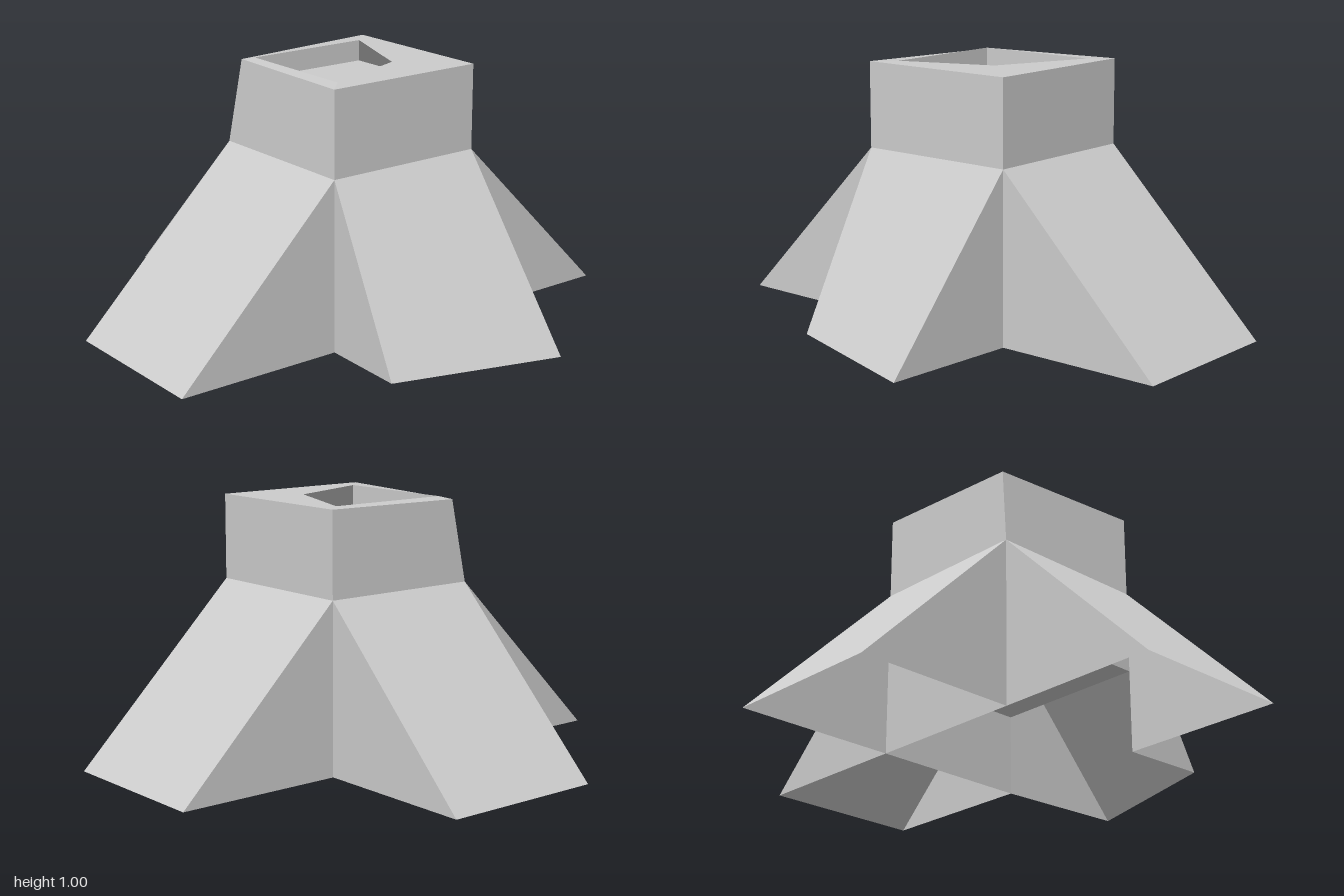
import * as THREE from 'three';

const GREY = new THREE.MeshStandardMaterial({ color: 0xcccccc, side: THREE.DoubleSide });
GREY.name = 'stoneGrey';

// Corner rings as [x, z] (optional own height): front right, front left, back left, back right
const BODY = [[-0.331, 0.393], [0.331, 0.393], [0.331, -0.272], [-0.331, -0.272]];
const CAP = [[-0.331, 0.393], [0.331, 0.393], [0.331, -0.272], [-0.285, -0.245, 0.99]];
const OPENING = [[-0.255, 0.315], [0.11, 0.18], [0.255, -0.2], [-0.255, -0.2]];
const FLOOR = [[-0.255, 0.315], [0.255, 0.315], [0.255, -0.2], [-0.255, -0.2]];

// Ground corners of each sloped buttress
const TIPS = {
  frontButtress: [[-0.345, 0.74], [0.299, 0.938]],
  leftButtress: [[1, 0.393], [1, -0.272]],
  backButtress: [[0.331, -0.938], [-0.331, -0.938]],
  rightButtress: [[-1, -0.272], [-1, 0.393]],
};

const at = ([x, z, ownHeight], y) => new THREE.Vector3(x, ownHeight ?? y, z);

// Mesh from triangles and quads, with one normal per face
function polygons(name, faces) {
  const points = [], normals = [];
  for (const f of faces) {
    // Cross product of the diagonals (or of two edges for a triangle)
    const normal = f[2].clone().sub(f[0]).cross(f[f.length - 1].clone().sub(f[1]));
    if (f.length === 3) normal.copy(f[1]).sub(f[0]).cross(f[2].clone().sub(f[0]));
    normal.normalize();
    for (let i = 1; i < f.length - 1; i++) {
      for (const p of [f[0], f[i], f[i + 1]]) {
        points.push(...p);
        normals.push(...normal);
      }
    }
  }
  const geometry = new THREE.BufferGeometry();
  geometry.setAttribute('position', new THREE.Float32BufferAttribute(points, 3));
  geometry.setAttribute('normal', new THREE.Float32BufferAttribute(normals, 3));
  const mesh = new THREE.Mesh(geometry, GREY);
  mesh.name = name;
  return mesh;
}

// Quads joining a lower (or outer) ring to an upper (or inner) ring
function band(low, y0, high, y1) {
  return low.map((p, i) => {
    const j = (i + 1) % low.length;
    return [at(p, y0), at(low[j], y0), at(high[j], y1), at(high[i], y1)];
  });
}

export function createModel() {
  const model = new THREE.Group();
  model.name = 'buttressedPedestal';

  // Block: walls, slightly skewed at the top, over a raised underside
  model.add(polygons('upperWalls', band(BODY, 0.667, CAP, 1)));
  model.add(polygons('middleWalls', band(BODY, 0.333, BODY, 0.667)));
  model.add(polygons('underside', [BODY.map((p) => at(p, 0.333)).reverse()]));

  // Only the left and back walls reach the ground; the other sides open into their buttresses
  model.add(polygons('lowerWalls', band(BODY, 0, BODY, 0.333).slice(1, 3)));

  // Top rim around the irregular opening
  model.add(polygons('topRim', band(CAP, 1, OPENING, 1)));

  // Shallow square recess, undercut beneath the front left of the rim
  model.add(polygons('recessWalls', band([...FLOOR].reverse(), 0.917, [...OPENING].reverse(), 1)));
  model.add(polygons('recessFloor', [FLOOR.map((p) => at(p, 0.917))]));

  // Hollow buttresses: slope and two triangular cheeks, open underneath
  Object.entries(TIPS).forEach(([name, [t0, t1]], i) => {
    const p = BODY[i], q = BODY[(i + 1) % 4];
    model.add(polygons(name, [
      [at(t0, 0), at(t1, 0), at(q, 0.667), at(p, 0.667)],
      [at(p, 0), at(t0, 0), at(p, 0.667)],
      [at(q, 0), at(q, 0.667), at(t1, 0)],
    ]));
  });

  return model;
}
